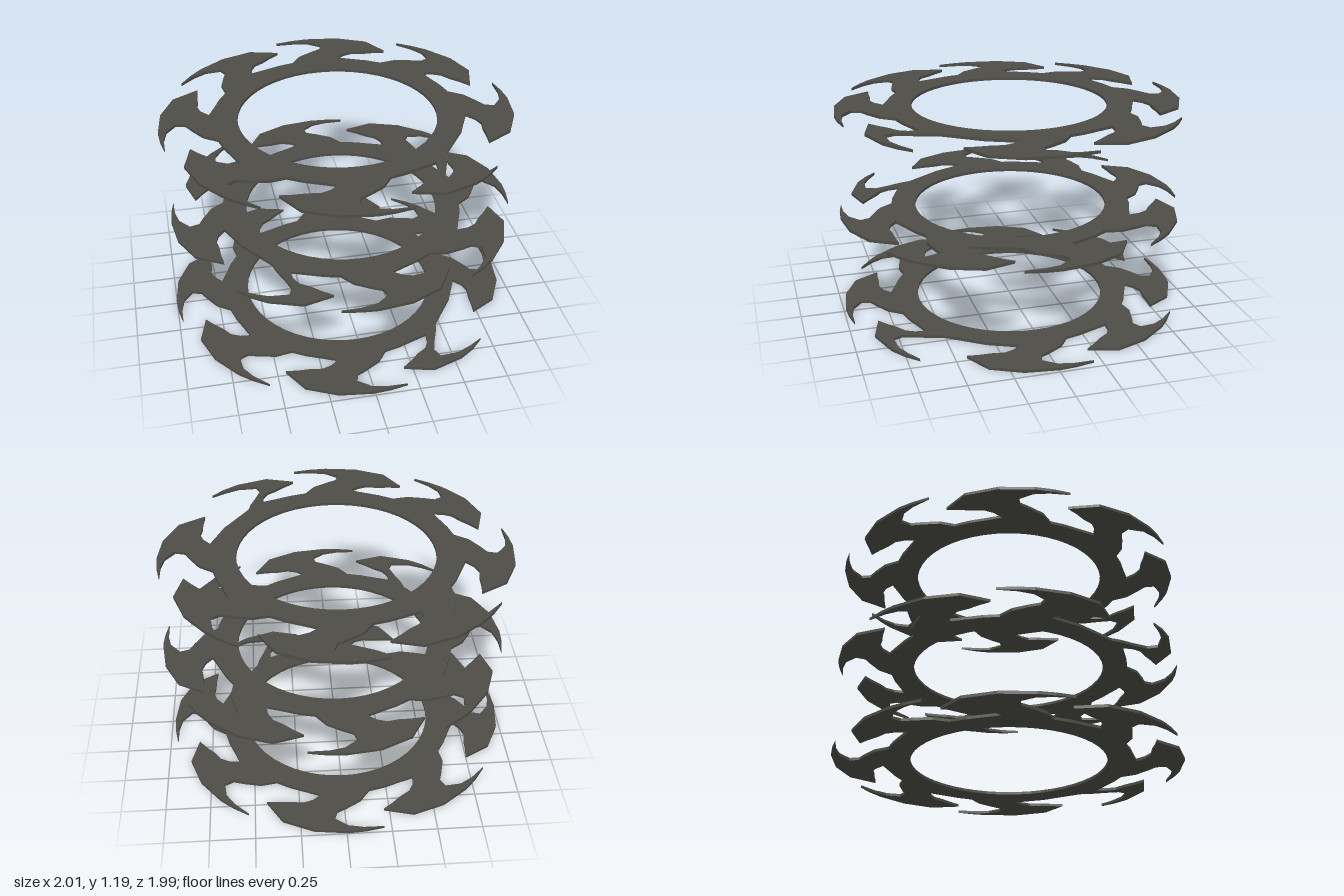
import * as THREE from 'three';

const THICK = 0.016;
const BLADES = 8;

// Half outlines of one blade as [degrees, radius], running clockwise from above
const hook = [[-11.6, 0.695], [-6.4, 0.762], [0, 0.81], [3.7, 0.84], [4.5, 0.895], [0, 0.948], [-5, 0.97]];
const crest = [[-11.5, 0.987], [-5.5, 0.991], [0, 0.993], [11, 0.987], [22, 0.957]];
const barb = [[31, 0.862], [26.5, 0.835], [22, 0.808], [17.5, 0.797], [14, 0.765], [11, 0.716], [18, 0.7], [26, 0.697]];

// One blade is slimmer, with a deeper hook and a shorter tip
const deepHook = [[1.3, 0.702], [5, 0.735], [11, 0.785], [15.5, 0.84], [16, 0.9], [10, 0.95], [5, 0.968]];
const shortCrest = [[-0.5, 0.985], [5, 0.99], [11, 0.987], [22, 0.957]];
const SLIM = 3;

const polar = (deg, r) => {
  const a = THREE.MathUtils.degToRad(deg);
  return new THREE.Vector2(r * Math.sin(a) - 0.01, r * Math.cos(a) + 0.005);
};

// Flat ring with hooked blades around it and a round opening
function bladeRingGeometry() {
  const outline = [];
  for (let i = 0; i < BLADES; i++) {
    const blade = i === SLIM ? [...deepHook, ...shortCrest, ...barb] : [...hook, ...crest, ...barb];
    for (const [deg, r] of blade) outline.push(polar(deg + (i * 360) / BLADES, r));
  }
  const shape = new THREE.Shape(outline);
  // The opening runs the other way round, so that its wall faces the centre
  const opening = [];
  for (let i = 0; i < 48; i++) opening.push(polar(-i * 7.5, 0.556));
  shape.holes.push(new THREE.Path(opening));
  const geometry = new THREE.ExtrudeGeometry(shape, { depth: THICK, bevelEnabled: false });
  geometry.rotateX(-Math.PI / 2);
  return geometry;
}

export function createModel() {
  const model = new THREE.Group();
  model.name = 'bladeRings';
  const metal = new THREE.MeshStandardMaterial({ color: 0x4d4c46 });
  metal.name = 'darkMetal';
  const geometry = bladeRingGeometry();

  const addRing = (name, y, flipped) => {
    const ring = new THREE.Mesh(geometry, metal);
    ring.name = name;
    // A flipped ring is turned upside down, so its hooks point the other way
    ring.rotation.z = flipped ? Math.PI : 0;
    ring.position.y = flipped ? y + THICK : y;
    model.add(ring);
  };
  addRing('lowerRing', 0, false);
  addRing('middleRing', 0.581, true);
  addRing('upperRing', 1.175, false);
  return model;
}
